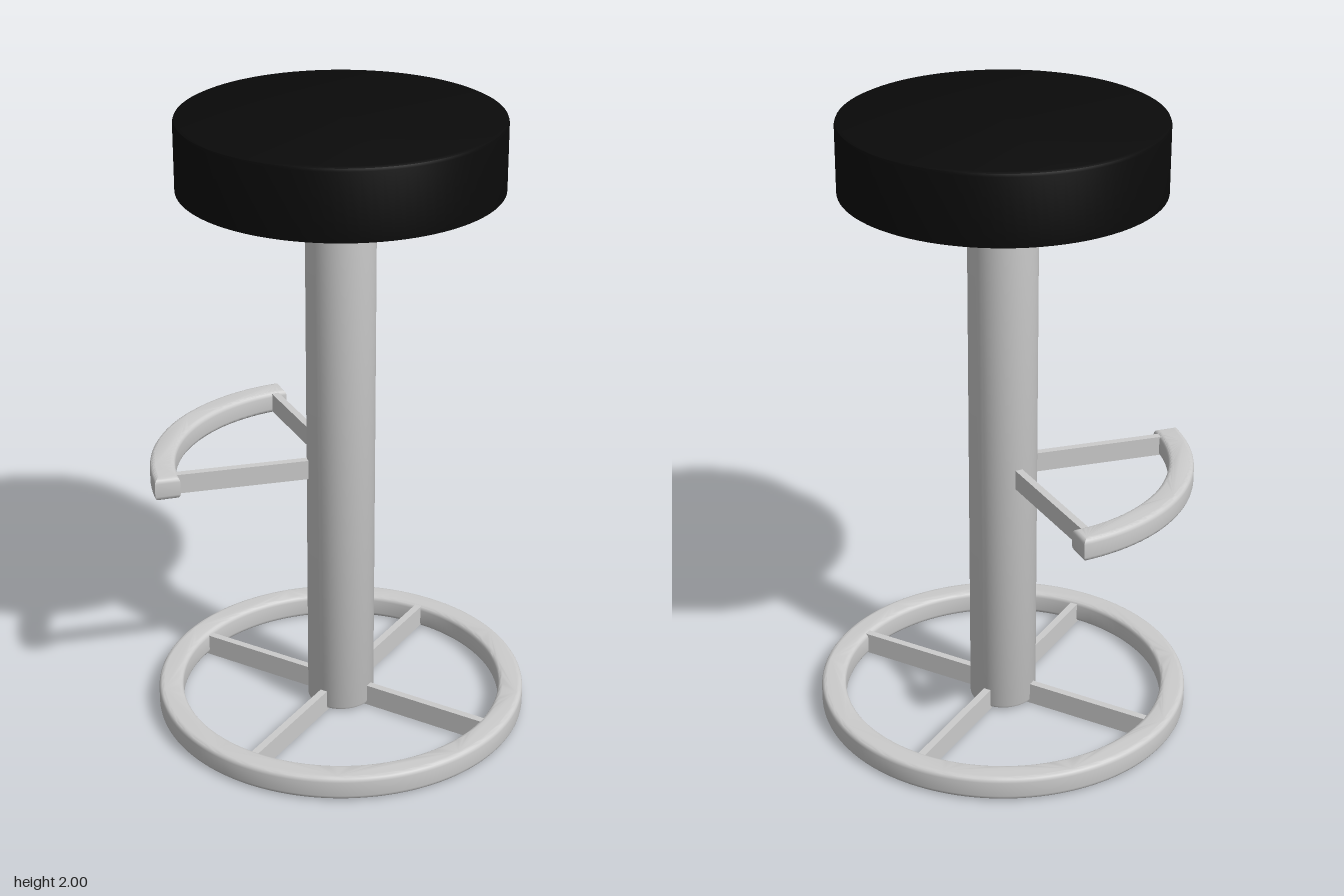
import * as THREE from 'three';
import { toCreasedNormals } from 'three/addons/utils/BufferGeometryUtils.js';

const metal = new THREE.MeshStandardMaterial({ color: 0xcccccc });
const cushion = new THREE.MeshStandardMaterial({ color: 0x0a0a0a });
const INNER = 0.52, OUTER = 0.6, BEVEL = 0.016;

function add(parent, name, geometry, material = metal) {
  const mesh = new THREE.Mesh(geometry, material);
  mesh.name = name;
  parent.add(mesh);
  return mesh;
}

// Flat plan shape raised from y0 to y1 with rounded edges
function slab(shape, y0, y1) {
  const g = new THREE.ExtrudeGeometry(shape, {
    depth: y1 - y0 - 2 * BEVEL, bevelEnabled: true, bevelSize: BEVEL,
    bevelThickness: BEVEL, bevelSegments: 4, curveSegments: 72,
  });
  g.rotateX(-Math.PI / 2);
  g.translate(0, y0 + BEVEL, 0);
  return toCreasedNormals(g, 0.6);
}

function lathe(points, segments = 72) {
  const g = new THREE.LatheGeometry(points.map(([r, y]) => new THREE.Vector2(r, y)), segments);
  return toCreasedNormals(g, 0.6);
}

// Thin bar running outward from the post at a plan angle
function bar(parent, name, angle, y, height, length, tilt = 0) {
  const g = new THREE.BoxGeometry(length, height, 0.024);
  g.translate(length / 2, 0, 0);
  g.rotateZ(tilt);
  g.rotateY(angle);
  add(parent, name, g).position.y = y;
}

export function createModel() {
  const stool = new THREE.Group();
  stool.name = 'barStool';

  // Base: floor ring and four slightly sloping spokes
  const base = new THREE.Group();
  base.name = 'base';
  const ring = new THREE.Shape();
  ring.absarc(0, 0, OUTER - BEVEL, 0, Math.PI * 2);
  const hole = new THREE.Path();
  hole.absarc(0, 0, INNER + BEVEL, 0, Math.PI * 2, true);
  ring.holes.push(hole);
  add(base, 'floorRing', slab(ring, 0.005, 0.085));
  for (let i = 0; i < 4; i++) {
    const tilt = i < 2 ? 0.008 : -0.008;
    bar(base, 'spoke', i * Math.PI / 2, 0.043, 0.072, 0.54, tilt);
  }

  // Central post
  add(stool, 'post', lathe([
    [0, 0.012], [0.098, 0.012], [0.105, 0.015], [0.108, 0.022], [0.108, 1.7], [0, 1.7],
  ], 48));

  // Footrest: curved bar on two struts
  const footrest = new THREE.Group();
  footrest.name = 'footrest';
  const a0 = THREE.MathUtils.degToRad(143.5), a1 = THREE.MathUtils.degToRad(227.5);
  const arc = new THREE.Shape();
  arc.absarc(0, 0, OUTER - BEVEL, a0, a1, false);
  arc.absarc(0, 0, INNER + BEVEL, a1, a0, true);
  arc.closePath();
  add(footrest, 'footBar', slab(arc, 0.82, 0.895));
  for (const deg of [146, 225]) {
    bar(footrest, 'strut', THREE.MathUtils.degToRad(deg), 0.858, 0.064, 0.54);
  }

  // Domed cup under the seat
  const cup = [[0, 1.665]];
  for (let i = 0; i <= 12; i++) {
    const r = 0.1 + 0.22 * i / 12;
    cup.push([r, 1.665 + 0.487 - Math.sqrt(0.487 ** 2 - r * r) - 0.007]);
  }
  cup.push([0.32, 1.8], [0, 1.8]);
  add(stool, 'seatCup', lathe(cup));

  // Round cushion
  add(stool, 'seat', lathe([
    [0, 1.782], [0.493, 1.782], [0.493, 1.988], [0.49, 1.996], [0.482, 2], [0, 2],
  ], 96), cushion);

  stool.add(base, footrest);
  return stool;
}
